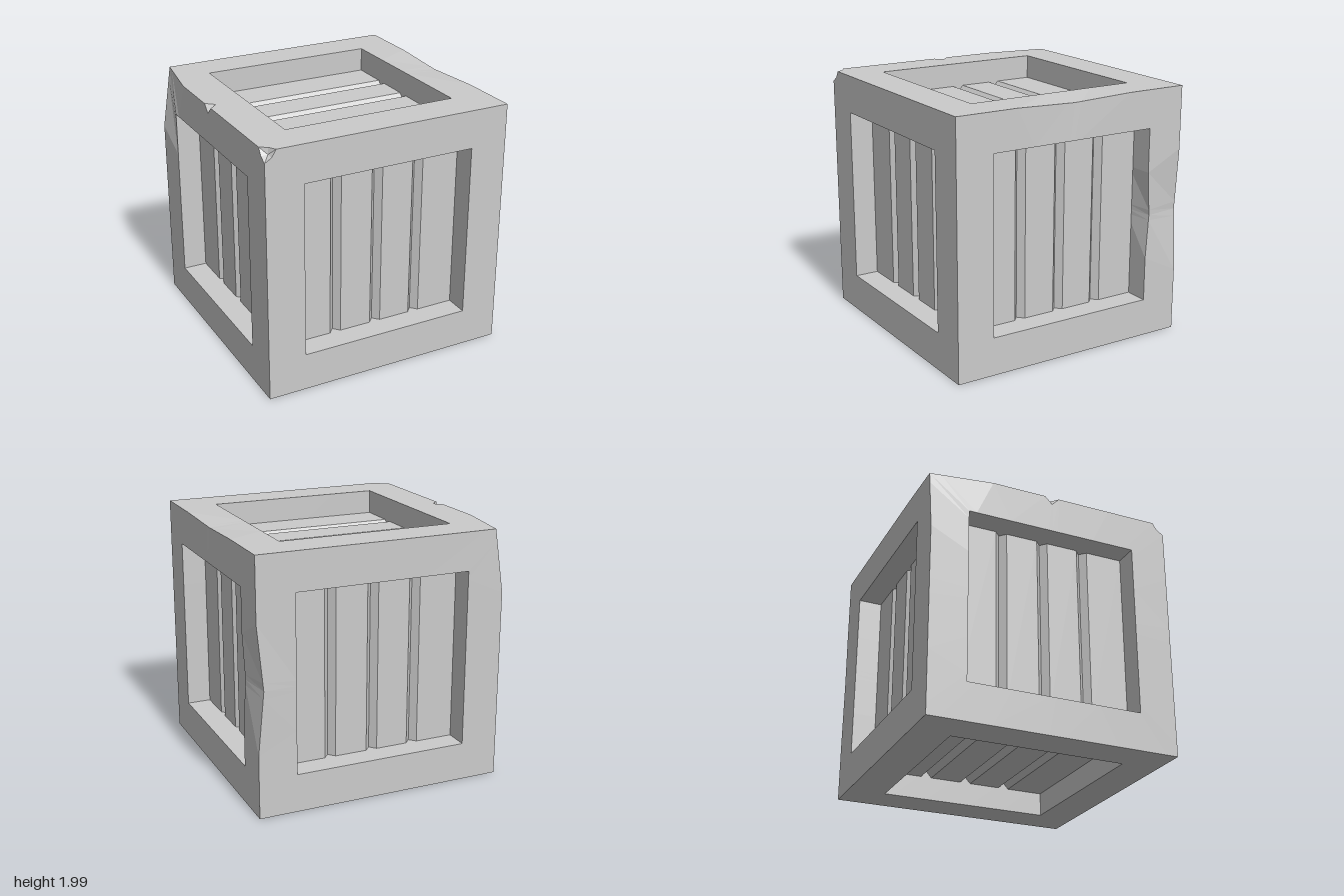
import * as THREE from 'three';

const H = 0.995;      // half size of the crate
const R = 0.695;      // half size of each recess
const DEPTH = 0.19;   // recess depth
const GROOVE = 0.05;  // groove depth between planks
const STEPS = [-1, -0.91, -0.5, -0.06, 0, 0.06, 0.5, 0.91]; // points along a side

const V = (x, y, z) => new THREE.Vector3(x, y, z);
const material = new THREE.MeshStandardMaterial({ color: 0xcccccc, flatShading: true });

// Dents: points near the centre shift, fading out linearly along the edges
const edgeDents = [
  { at: V(-H, H, -H), by: V(0.075, 0, 0.005), reach: 0.5 },
  { at: V(H, H, 0), by: V(-0.01, -0.02, 0), reach: 0.5 },
  { at: V(H, 0, -H), by: V(-0.045, 0, -0.01), reach: 0.5 },
];
const rimDents = [{ at: V(H, 0, -R), by: V(-0.01, 0, -0.03), reach: 0.33 }];

// Chips: a bite out of an edge or corner, cut into each face within its own plane
const chips = [
  { at: V(-H, H, H), by: V(0.055, -0.055, -0.055) },
  { at: V(-H, H, 0), by: V(0.065, -0.06, 0) },
];

function dent(p, dents) {
  const start = p.clone();
  for (const d of dents) {
    p.addScaledVector(d.by, Math.max(0, 1 - start.distanceTo(d.at) / d.reach));
  }
  return p;
}

function chip(p, n) {
  for (const c of chips) {
    if (p.distanceTo(c.at) < 0.001) p.add(c.by.clone().projectOnPlane(n));
  }
  return p;
}

function meshOf(name, triangles) {
  const geometry = new THREE.BufferGeometry().setFromPoints(triangles);
  geometry.computeVertexNormals();
  const mesh = new THREE.Mesh(geometry, material);
  mesh.name = name;
  return mesh;
}

const quad = (list, a, b, c, d) => list.push(a, b, c, a, c, d);

// One side of the crate; u runs across the planks, v along them, n outward
function makeSide(name, u, v) {
  const n = u.clone().cross(v);
  const at = (a, b, c) =>
    V(0, 0, 0).addScaledVector(u, a).addScaledVector(v, b).addScaledVector(n, c);

  // Square loop, counter-clockwise seen from outside
  const loop = (size, height) => {
    const points = [];
    for (let side = 0; side < 4; side++) {
      for (const t of STEPS) {
        let [a, b] = [t, -1];
        for (let k = 0; k < side; k++) [a, b] = [-b, a];
        points.push(at(a * size, b * size, height));
      }
    }
    return points;
  };

  const outer = loop(H, H).map((p) => chip(dent(p, edgeDents), n));
  const rim = loop(R, H).map((p) => dent(p, rimDents));
  const base = loop(R, H - DEPTH - GROOVE);
  const frame = [];
  for (let i = 0; i < outer.length; i++) {
    const j = (i + 1) % outer.length;
    quad(frame, outer[i], outer[j], rim[j], rim[i]);
    quad(frame, rim[i], rim[j], base[j], base[i]);
  }

  // Planks separated by V grooves
  const floor = H - DEPTH;
  const profile = [[-R, floor]];
  for (const c of [-0.347, 0, 0.347]) {
    profile.push([c - 0.045, floor], [c, floor - GROOVE], [c + 0.045, floor]);
  }
  profile.push([R, floor]);
  const planks = [];
  for (let i = 0; i + 1 < profile.length; i++) {
    const [a, ha] = profile[i];
    const [b, hb] = profile[i + 1];
    quad(planks, at(a, -R, ha), at(b, -R, hb), at(b, R, hb), at(a, R, ha));
  }

  const group = new THREE.Group();
  group.name = name;
  group.add(meshOf(name + 'Frame', frame), meshOf(name + 'Planks', planks));
  return group;
}

// Broken surface inside the chipped corner
function makeCornerChip() {
  const e = 0.09 * (H / 0.995);
  const s = 0.055;
  const ring = [
    V(-H + e, H, H), V(-H + s, H, H - s), V(-H, H, H - e),
    V(-H, H - s, H - s), V(-H, H - e, H), V(-H + s, H - s, H),
  ];
  const centre = V(-H + 0.05, H - 0.05, H - 0.05);
  const list = [];
  ring.forEach((p, i) => list.push(p, ring[(i + 1) % 6], centre));
  return meshOf('cornerChip', list);
}

// Broken surface inside the notch of the upper left edge
function makeEdgeChip() {
  const w = 0.06 * H;
  const top = V(-H + 0.065, H, 0);
  const low = V(-H, H - 0.06, 0);
  return meshOf('edgeChip', [V(-H, H, w), top, low, top, V(-H, H, -w), low]);
}

export function createModel() {
  const crate = new THREE.Group();
  crate.name = 'crate';
  const X = V(1, 0, 0), Y = V(0, 1, 0), Z = V(0, 0, 1);
  const minusX = V(-1, 0, 0), minusZ = V(0, 0, -1);
  crate.add(
    makeSide('front', X, Y),
    makeSide('back', minusX, Y),
    makeSide('leftSide', minusZ, Y),
    makeSide('rightSide', Z, Y),
    makeSide('top', Z, X),
    makeSide('bottom', minusZ, X),
    makeCornerChip(),
    makeEdgeChip(),
  );
  crate.position.set(-0.003, H, 0.005);
  const model = new THREE.Group();
  model.name = 'woodenCrate';
  model.add(crate);
  return model;
}
